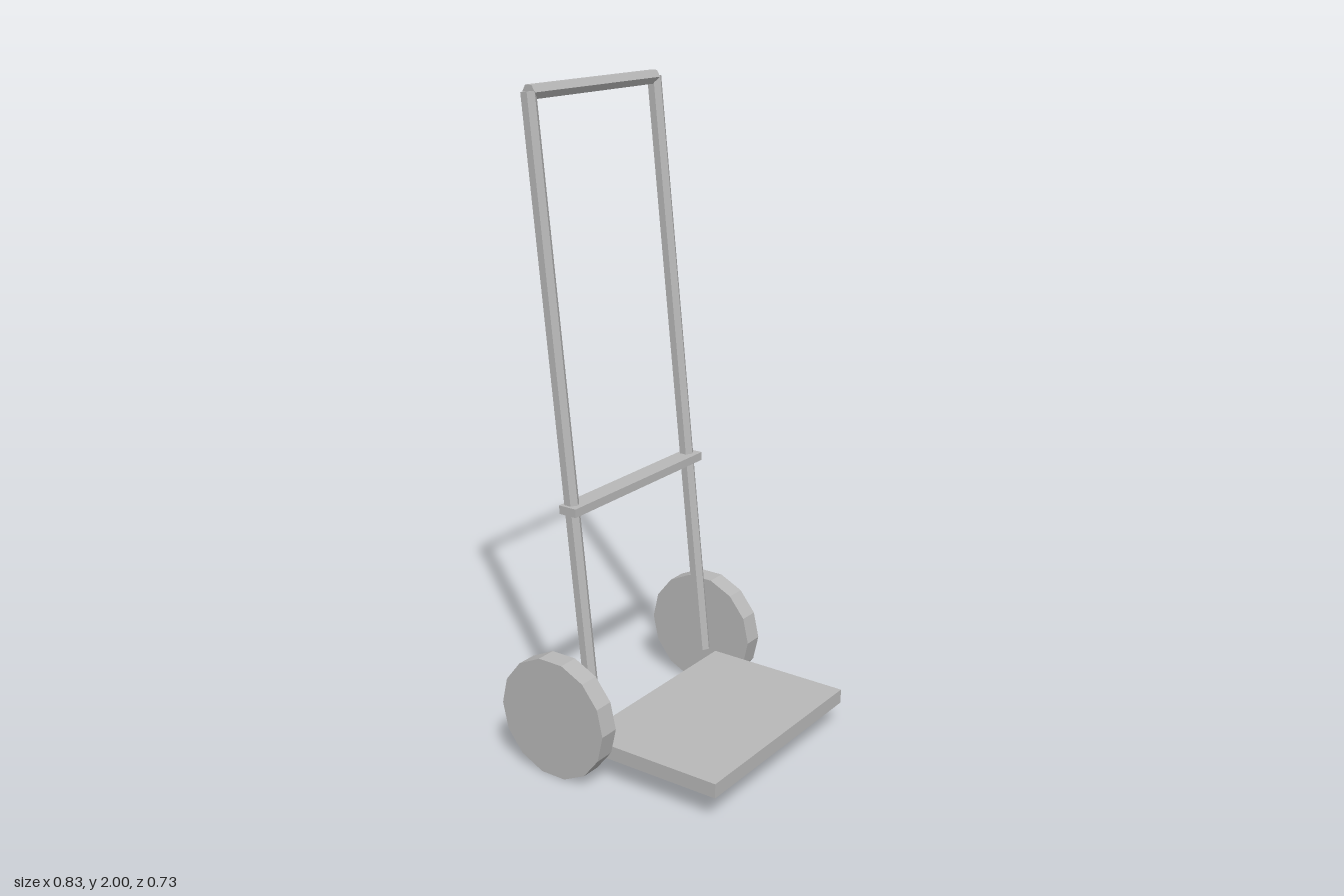
import * as THREE from 'three';

export function createModel() {
  const group = new THREE.Group();
  const grey = new THREE.MeshStandardMaterial({ color: 0xb8b8b8 });
  grey.name = 'grey metal';
  grey.flatShading = true;

  function add(name, geometry, x, y, z) {
    const mesh = new THREE.Mesh(geometry, grey);
    mesh.name = name;
    mesh.position.set(x, y, z);
    group.add(mesh);
    return mesh;
  }

  // Load plate and cross brace
  add('loadPlate', new THREE.BoxGeometry(0.7, 0.045, 0.477), 0, 0.102, 0.1265);
  add('crossBrace', new THREE.BoxGeometry(0.632, 0.026, 0.06), 0, 0.808, -0.177);

  // Hexagonal bar across the top
  const handle = new THREE.CylinderGeometry(0.0225, 0.0225, 0.57, 6).rotateZ(Math.PI / 2);
  add('handle', handle, 0, 1.98, -0.304);

  // Leaning hexagonal posts and 14-sided wheels, one of each per side
  const bottom = new THREE.Vector3(0, 0.16, -0.117);
  const top = new THREE.Vector3(0, 1.982, -0.304);
  const lean = top.clone().sub(bottom);
  const post = new THREE.CylinderGeometry(0.0228, 0.0228, lean.length(), 6);
  post.rotateX(Math.atan2(lean.z, lean.y));
  const wheel = new THREE.CylinderGeometry(0.19, 0.19, 0.063, 14).rotateZ(Math.PI / 2);
  const middle = bottom.clone().add(top).multiplyScalar(0.5);

  for (const side of [1, -1]) {
    const label = side > 0 ? 'left' : 'right';
    add(label + 'Post', post, side * 0.286, middle.y, middle.z);
    add(label + 'Wheel', wheel, side * 0.3815, 0.1855, -0.175);
  }
  return group;
}
